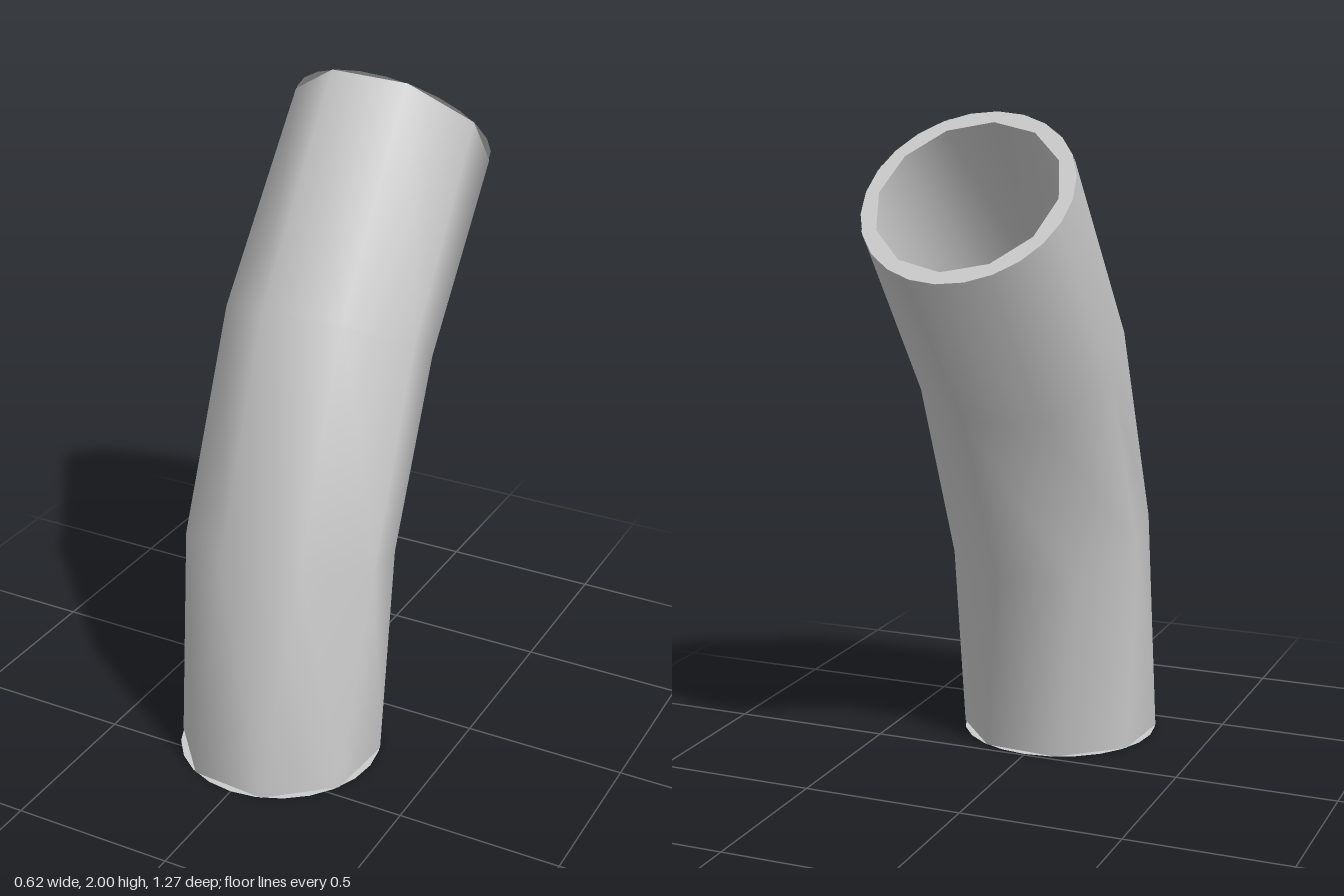
import * as THREE from 'three';

// Stations along the bend: centre (y, z), tilt and twist in degrees, outer radius
const stations = [
  { y: 0, z: 0.32, tilt: 0, twist: 18, r: 0.312 },
  { y: 0.66, z: 0.2425, tilt: 15, twist: 33, r: 0.317 },
  { y: 1.255, z: -0.0075, tilt: 30, twist: 31, r: 0.317 },
  { y: 1.78, z: -0.415, tilt: 45, twist: 27, r: 0.312 },
];
const RIM_R = 0.311, BORE_R = 0.27, WALL_SIDES = 8, BORE_SIDES = 12, RIM_SIDES = 24;
const rad = THREE.MathUtils.degToRad;

// Point on a tilted station; angle runs from the front towards +x
function ringPoint(s, r, angle) {
  const f = r * Math.cos(angle), t = rad(s.tilt);
  return [r * Math.sin(angle), s.y + f * Math.sin(t), s.z + f * Math.cos(t)];
}

// Closed loops of equal length joined into a surface
function loft(loops) {
  const n = loops[0].length, index = [];
  for (let i = 0; i < loops.length - 1; i++) {
    for (let j = 0; j < n; j++) {
      const a = i * n + j, b = i * n + (j + 1) % n;
      index.push(a, b, a + n, b, b + n, a + n);
    }
  }
  const geo = new THREE.BufferGeometry();
  geo.setAttribute('position', new THREE.Float32BufferAttribute(loops.flat(2), 3));
  geo.setIndex(index);
  geo.computeVertexNormals();
  return geo;
}

function loop(s, sides, radiusAt, twist = 0) {
  return Array.from({ length: sides }, (_, j) => {
    const a = (j / sides) * Math.PI * 2 + rad(twist);
    return ringPoint(s, radiusAt(j), a);
  });
}

export function createModel() {
  const group = new THREE.Group();
  group.name = 'bentPipe';
  const material = new THREE.MeshStandardMaterial({ color: 0xcccccc, side: THREE.DoubleSide });
  const add = (name, geo) => {
    const mesh = new THREE.Mesh(geo, material);
    mesh.name = name;
    group.add(mesh);
  };

  // Outer wall, slightly twisted octagonal sections
  add('outerWall', loft(stations.map(s => loop(s, WALL_SIDES, () => s.r, s.twist))));

  // Bore, wound the other way so it faces inwards
  add('innerWall', loft(stations.map(s => loop(s, BORE_SIDES, () => BORE_R).reverse())));

  // Flat end rims: round outside, following the bore's corners inside
  const boreEdge = j => (j % 2 ? BORE_R * Math.cos(Math.PI / BORE_SIDES) : BORE_R);
  const rim = s => [loop(s, RIM_SIDES, () => RIM_R), loop(s, RIM_SIDES, boreEdge)];
  add('topRim', loft(rim(stations[3])));
  add('bottomRim', loft(rim(stations[0]).reverse()));

  return group;
}
